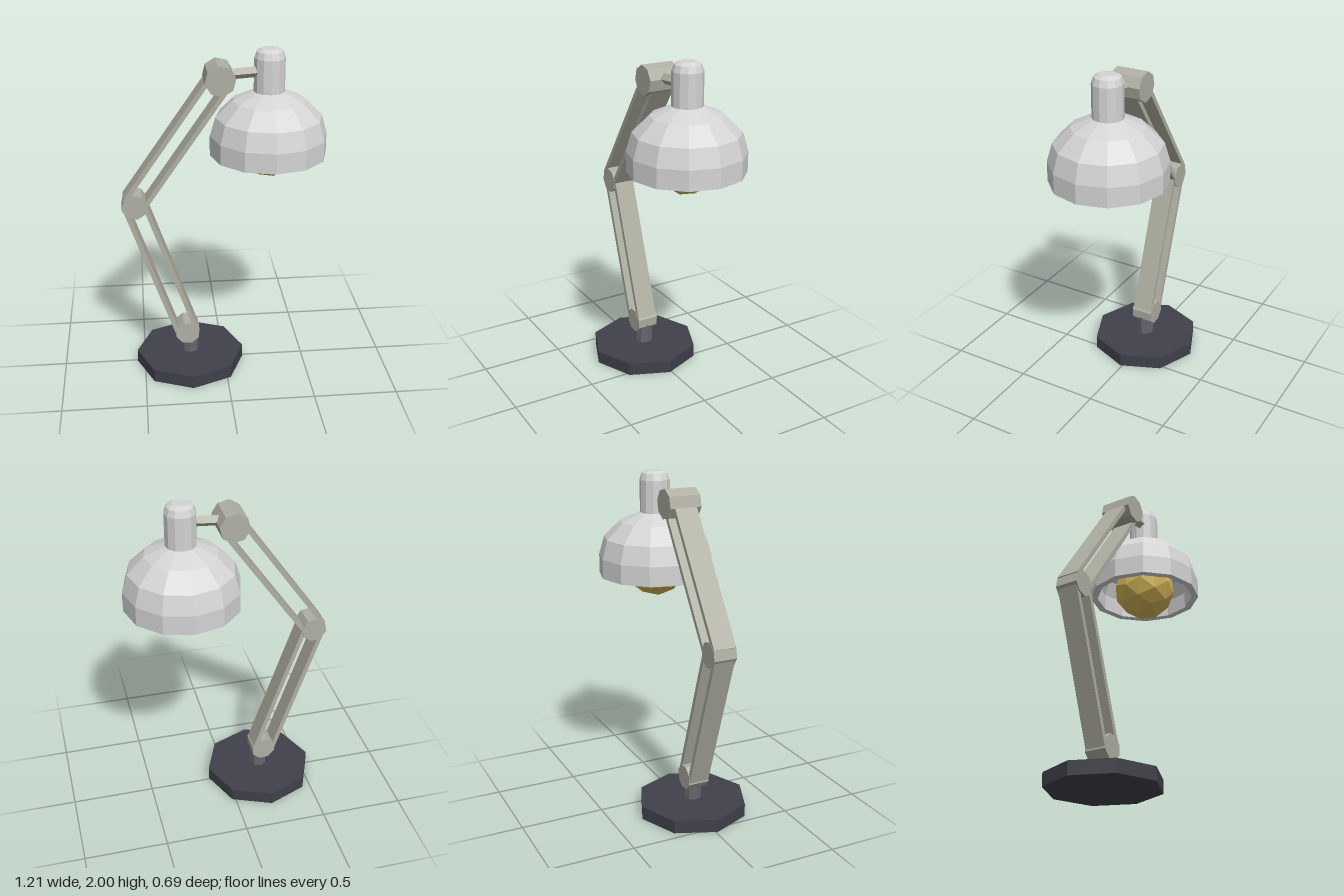
import * as THREE from 'three';

const flat = (name, color) => {
  const m = new THREE.MeshStandardMaterial({ color, flatShading: true });
  m.name = name;
  return m;
};

export function createModel() {
  const group = new THREE.Group();
  const mats = {
    base: flat('dark base', 0x40404b),
    stem: flat('grey stem', 0x66666e),
    arm: flat('warm grey arm', 0xb0afa3),
    shade: flat('pale grey shade', 0xd4d4d4),
    bulb: flat('amber bulb', 0xd6b858),
  };
  const add = (name, geometry, material, x, y, z) => {
    const mesh = new THREE.Mesh(geometry, material);
    mesh.name = name;
    mesh.position.set(x, y, z);
    group.add(mesh);
    return mesh;
  };
  const armZ = 0.013;

  // Octagonal foot and short stem
  add('base', new THREE.CylinderGeometry(0.333, 0.333, 0.08, 8), mats.base, -0.214, 0.04, 0.012);
  add('stem', new THREE.CylinderGeometry(0.054, 0.054, 0.14, 8), mats.stem, -0.214, 0.14, 0.013);

  // Octagonal hinges lying along z; turn is the angle of one corner
  const joint = (name, x, y, r, depth, turn) => {
    const g = new THREE.CylinderGeometry(r, r, depth, 8).rotateX(Math.PI / 2);
    add(name, g, mats.arm, x, y, armZ).rotation.z = THREE.MathUtils.degToRad(turn);
  };
  joint('lowerJoint', -0.23, 0.228, 0.076, 0.132, 19);
  joint('elbowJoint', -0.529, 1.095, 0.077, 0.14, 11);
  joint('upperJoint', -0.027, 1.847, 0.089, 0.195, 9);

  // Each arm is a pair of parallel plates between two hinges
  const arm = (name, x0, y0, x1, y1, offset, depth) => {
    const dx = x1 - x0, dy = y1 - y0, len = Math.hypot(dx, dy);
    for (const s of [-1, 1]) {
      const plate = add(name + (s < 0 ? 'BackPlate' : 'FrontPlate'),
        new THREE.BoxGeometry(0.027, len, depth), mats.arm,
        (x0 + x1) / 2 + s * offset * dy / len,
        (y0 + y1) / 2 - s * offset * dx / len, armZ);
      plate.rotation.z = Math.atan2(-dx, dy);
    }
  };
  arm('lowerArm', -0.23, 0.228, -0.529, 1.095, 0.058, 0.125);
  arm('upperArm', -0.537, 1.1, -0.02, 1.843, 0.059, 0.137);

  // Diamond-section rod from the upper hinge to the lamp neck
  const rod = add('lampRod', new THREE.CylinderGeometry(0.031, 0.031, 0.22, 4), mats.arm, 0.11, 1.867, 0.013);
  rod.rotation.z = -Math.PI / 2 + 0.07;

  // Lamp head: capped neck, hollow dome and faceted bulb
  const lathe = (points) => new THREE.LatheGeometry(points.map(([r, y]) => new THREE.Vector2(r, y)), 12);
  const hx = 0.263, hz = -0.007;
  add('neck', lathe([[0, 1.72], [0.09, 1.72], [0.09, 1.947], [0.077, 1.985], [0.048, 2], [0, 2]]), mats.shade, hx, 0, hz);
  add('shade', lathe([
    [0, 1.7], [0.08, 1.7], [0.19, 1.655], [0.27, 1.575], [0.3, 1.48], [0.3, 1.375],
    [0.3425, 1.375], [0.3425, 1.492], [0.31, 1.603], [0.212, 1.7], [0.09, 1.753], [0, 1.753],
  ]), mats.shade, hx, 0, hz);
  const bulb = add('bulb', new THREE.IcosahedronGeometry(0.19, 1), mats.bulb, hx, 1.432, hz);
  bulb.quaternion.setFromUnitVectors(new THREE.Vector3(1, 1, 1).normalize(), new THREE.Vector3(0, -1, 0));

  return group;
}
